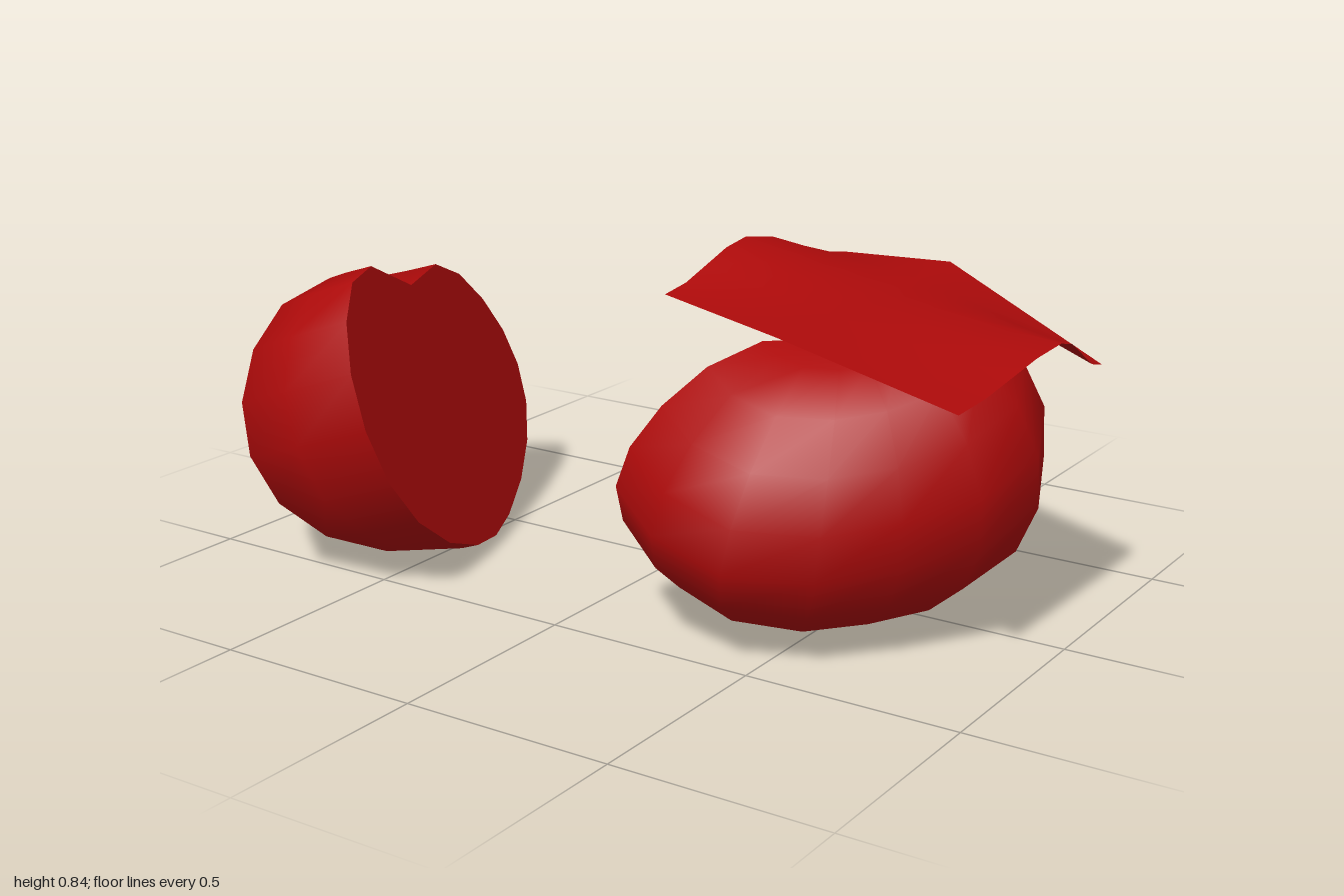
import * as THREE from 'three';

const red = new THREE.MeshStandardMaterial({ color: 0xac0a0a });
const redSheet = new THREE.MeshStandardMaterial({ color: 0xac0a0a, side: THREE.DoubleSide });
const TILT = -0.31;

function makeMesh(name, geometry, material = red) {
  const mesh = new THREE.Mesh(geometry, material);
  mesh.name = name;
  return mesh;
}

// Grid of rows x cols points given by fn(u, v), u and v in 0..1
function gridGeometry(rows, cols, fn) {
  const pos = [], index = [];
  for (let i = 0; i <= rows; i++) {
    for (let j = 0; j <= cols; j++) {
      pos.push(...fn(i / rows, j / cols));
      if (i < rows && j < cols) {
        const a = i * (cols + 1) + j, b = a + cols + 1;
        index.push(a, b, a + 1, b, b + 1, a + 1);
      }
    }
  }
  const geo = new THREE.BufferGeometry();
  geo.setAttribute('position', new THREE.Float32BufferAttribute(pos, 3));
  geo.setIndex(index);
  return geo;
}

// Lean the half back and flatten it where it rests
function settle(geo) {
  geo.rotateX(TILT);
  const p = geo.attributes.position;
  for (let i = 0; i < p.count; i++) p.setY(i, Math.max(p.getY(i), -0.35));
  geo.computeVertexNormals();
  return geo;
}

// Half fruit: lobed dome towards -z, flat cut towards +z, higher shoulder towards -x
function fruitHalf(name) {
  const ROWS = 10, COLS = 8;
  const skin = (u, v) => {
    const theta = u * Math.PI, phi = v * Math.PI;
    const groove = Math.exp(-(((phi - Math.PI / 2) / 0.4) ** 2));
    const fullness = 1 + 0.07 * Math.sin(2 * phi) ** 2 - 0.07 * groove * (1 - u);
    const r = 0.475 * Math.pow(Math.max(Math.sin(theta), 0), 0.8 + 0.45 * u) * fullness;
    const x = r * Math.cos(phi);
    const upper = Math.max(Math.cos(theta), 0);
    const h = 0.37 * Math.cos(theta) - 0.09 * upper * Math.exp(-((r / 0.15) ** 2))
      - 0.11 * x * (1 + Math.cos(theta)) - 0.04 * upper * groove * Math.sin(theta);
    return [x, h, -r * Math.sin(phi)];
  };
  const rim = [];
  for (let i = 0; i <= ROWS; i++) rim.push(skin(i / ROWS, 0));
  for (let i = ROWS - 1; i > 0; i--) rim.push(skin(i / ROWS, 1));
  const outline = new THREE.Shape(rim.map(([x, y]) => new THREE.Vector2(x, y)));

  const group = new THREE.Group();
  group.name = name;
  group.add(makeMesh('skin', settle(gridGeometry(ROWS, COLS, skin))));
  group.add(makeMesh('cutFace', settle(new THREE.ShapeGeometry(outline))));
  return group;
}

// Slice: lobed outline with a slightly smaller underside
function sliceGeometry() {
  const pts = [
    [-0.385, 0], [-0.375, 0.1], [-0.355, 0.19], [-0.255, 0.275], [-0.105, 0.305], [-0.005, 0.28],
    [0.095, 0.255], [0.195, 0.275], [0.295, 0.235], [0.365, 0.165], [0.385, 0.06], [0.36, -0.08],
    [0.28, -0.2], [0.15, -0.28], [0, -0.305], [-0.1, -0.3], [-0.205, -0.275], [-0.285, -0.215], [-0.345, -0.135],
  ];
  const curve = new THREE.SplineCurve([...pts, pts[0]].map(([x, y]) => new THREE.Vector2(x, y)));
  const shape = new THREE.Shape(curve.getPoints(38));
  const geo = new THREE.ExtrudeGeometry(shape, { depth: 0.043, bevelEnabled: false });
  const p = geo.attributes.position;
  for (let i = 0; i < p.count; i++) {
    if (p.getZ(i) < 0.02) p.setXY(i, p.getX(i) * 0.94, p.getY(i) * 0.94);
  }
  geo.translate(0, 0, -0.043);
  geo.rotateX(-Math.PI / 2);
  geo.computeVertexNormals();
  return geo;
}

// Leaf: sheet over a 3 x 3 net of points, back row first, heights eased between them
function leafGeometry() {
  const net = [
    [[0.3, 0.75, -0.25], [0.57, 0.76, -0.25], [0.98, 0.6, -0.17]],
    [[0.25, 0.845, 0.11], [0.6, 0.76, 0.11], [1, 0.71, 0.1]],
    [[0.23, 0.77, 0.4], [0.57, 0.75, 0.51], [0.98, 0.66, 0.52]],
  ];
  const ease = t => t * t * (3 - 2 * t);
  const weights = (t, f) => [f(Math.max(1 - 2 * t, 0)), f(1 - Math.abs(2 * t - 1)), f(Math.max(2 * t - 1, 0))];
  const geo = gridGeometry(8, 8, (u, v) => [0, 1, 2].map(k => {
    const a = weights(u, k === 1 ? ease : t => t), b = weights(v, t => t);
    return net.reduce((sum, row, i) => sum + a[i] * row.reduce((s, p, j) => s + b[j] * p[k], 0), 0);
  }));
  geo.computeVertexNormals();
  return geo;
}

export function createModel() {
  const model = new THREE.Group();
  model.name = 'slicedTomato';

  // Two halves standing with their cuts turned to the back
  const rightHalf = fruitHalf('rightHalf');
  rightHalf.position.set(-0.53, 0.38, 0.21);
  rightHalf.rotation.y = Math.atan2(0.945, -0.33);
  const leftHalf = fruitHalf('leftHalf');
  leftHalf.position.set(0.42, 0.38, 0.06);
  leftHalf.rotation.y = Math.atan2(-0.79, -0.61);
  model.add(rightHalf, leftHalf);

  // Stack of three leaning slices: x, y, z, scale
  const slice = sliceGeometry();
  const stack = [[-0.04, 0.077, -0.455, 0.86], [0.105, 0.116, -0.355, 1], [0.105, 0.163, -0.255, 1]];
  stack.forEach(([x, y, z, s], i) => {
    const mesh = makeMesh('slice' + (i + 1), slice);
    mesh.position.set(x, y, z);
    mesh.scale.set(s, 1, s);
    mesh.rotation.x = 0.125;
    model.add(mesh);
  });

  // Leaf lying on the left half
  model.add(makeMesh('leaf', leafGeometry(), redSheet));
  return model;
}
